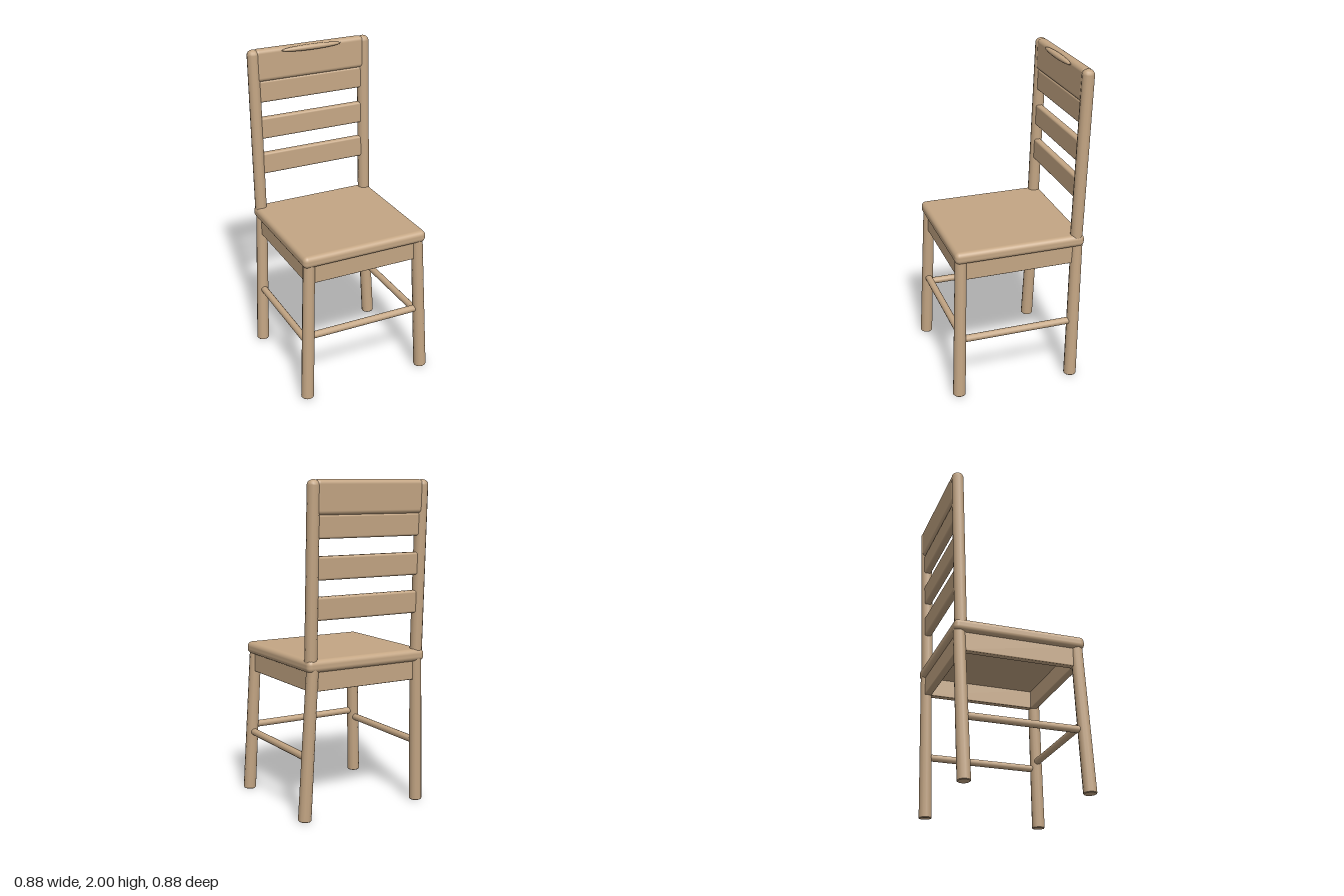
import * as THREE from 'three';
import { RoundedBoxGeometry } from 'three/addons/geometries/RoundedBoxGeometry.js';

export function createModel() {
  const group = new THREE.Group();
  const wood = new THREE.MeshStandardMaterial({ color: 0xc4a684 });
  wood.name = 'tan wood';

  const add = (name, geometry, x, y, z) => {
    const mesh = new THREE.Mesh(geometry, wood);
    mesh.name = name;
    mesh.position.set(x, y, z);
    group.add(mesh);
    return mesh;
  };
  const board = (name, w, h, d, x, y, z, r) =>
    add(name, new RoundedBoxGeometry(w, h, d, 4, r), x, y, z);

  // Lathe a [radius, height] profile and aim it from one point to another
  const up = new THREE.Vector3(0, 1, 0);
  const turned = (name, profile, from, to, sides = 12) => {
    const a = new THREE.Vector3(...from);
    const dir = new THREE.Vector3(...to).sub(a).normalize();
    const points = profile.map(([r, h]) => new THREE.Vector2(r, h));
    const mesh = add(name, new THREE.LatheGeometry(points, sides), ...from);
    mesh.quaternion.setFromUnitVectors(up, dir);
  };
  const rod = (name, r0, r1, from, to) => {
    const len = new THREE.Vector3(...from).distanceTo(new THREE.Vector3(...to));
    // doubled rim points keep the end caps crisp
    turned(name, [[0, 0], [r0 - 0.004, 0], [r0 - 0.004, 0], [r0, 0.004], [r0, 0.004],
      [r1, len], [r1, len], [0, len]], from, to);
  };

  // Seat
  board('seat', 0.82, 0.076, 0.815, 0, 0.937, 0, 0.03);

  // Apron boards under the seat
  board('frontApron', 0.7, 0.13, 0.045, 0, 0.85, 0.36, 0.006);
  board('backApron', 0.7, 0.13, 0.045, 0, 0.85, -0.36, 0.006);

  for (const [side, s] of [['left', 1], ['right', -1]]) {
    board(side + 'Apron', 0.045, 0.13, 0.7, s * 0.36, 0.85, 0, 0.006);

    // Splayed legs
    rod(side + 'FrontLeg', 0.04, 0.036, [s * 0.402, 0.001, 0.402], [s * 0.364, 0.92, 0.366]);
    rod(side + 'BackLeg', 0.04, 0.036, [s * 0.402, 0.001, -0.337], [s * 0.364, 0.92, -0.37]);

    // Side stretcher
    rod(side + 'Stretcher', 0.022, 0.022, [s * 0.386, 0.384, -0.35], [s * 0.386, 0.384, 0.387]);

    // Back post with domed ends, leaning backwards
    const r = 0.0375, len = 1.092, dome = 0.032;
    const profile = [[0, 0], [r * 0.75, 0.004], [r, 0.02]];
    for (let i = 0; i <= 5; i++) {
      const a = (i / 5) * Math.PI / 2;
      profile.push([r * Math.cos(a), len - dome + dome * Math.sin(a)]);
    }
    turned(side + 'BackPost', profile, [s * 0.371, 0.908, -0.361], [s * 0.371, 2, -0.402]);
  }

  // Front stretcher
  rod('frontStretcher', 0.022, 0.022, [-0.385, 0.428, 0.385], [0.385, 0.428, 0.385]);

  // Slats and top rail follow the lean of the posts
  const lean = (y) => -0.361 - (y - 0.908) * 0.0375;
  for (const y of [1.268, 1.5, 1.735]) {
    board('backSlat', 0.71, 0.137, 0.045, 0, y, lean(y), 0.014).rotation.x = -0.0375;
  }
  board('topRail', 0.73, 0.2, 0.066, 0, 1.899, lean(1.899), 0.026).rotation.x = -0.0375;

  // Raised oval grip on the top rail
  const grip = add('gripOval', new THREE.SphereGeometry(1, 32, 16), 0, 1.982, -0.362);
  grip.scale.set(0.2, 0.018, 0.021);

  return group;
}
